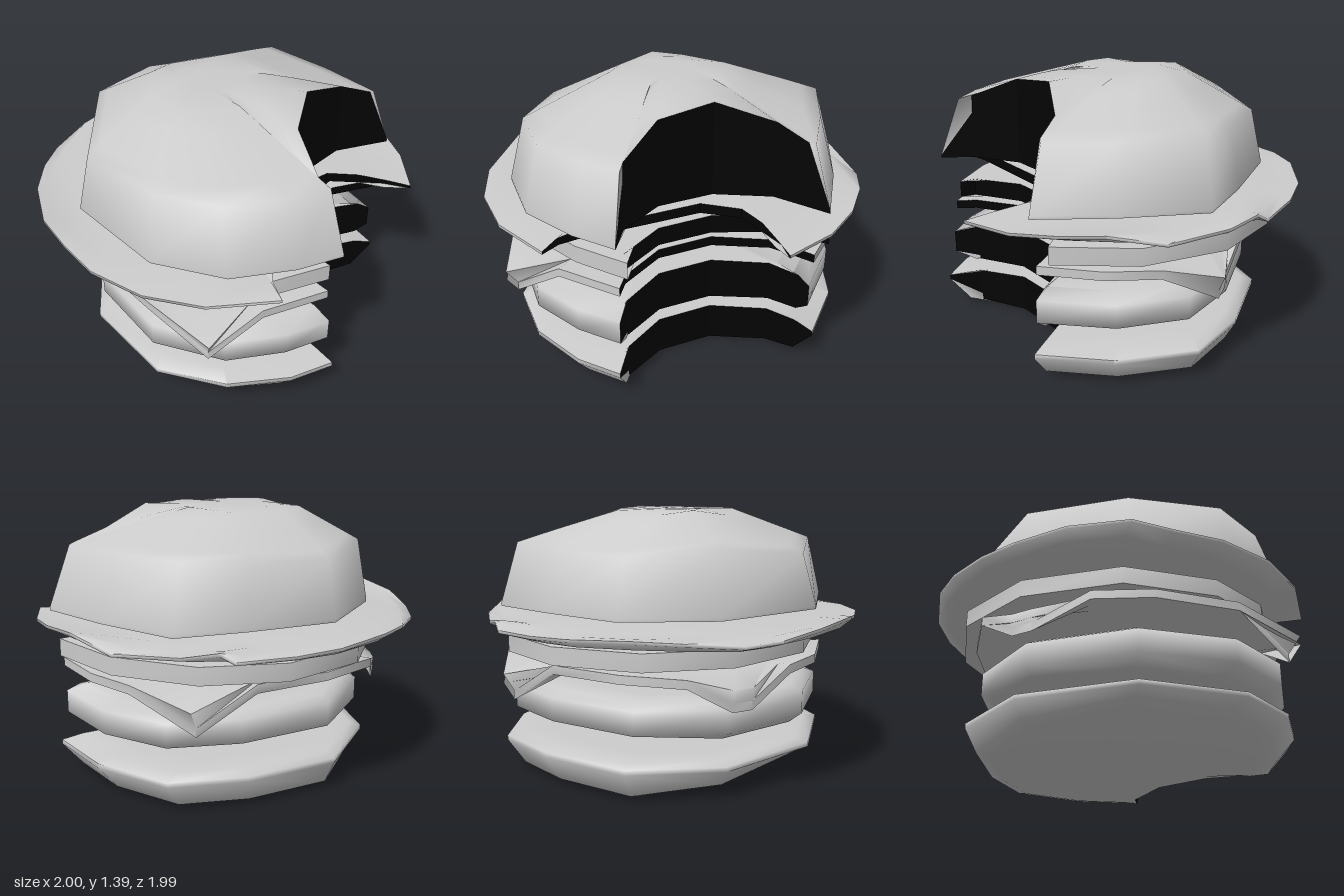
import * as THREE from 'three';
import { toCreasedNormals } from 'three/addons/utils/BufferGeometryUtils.js';

const RINGS = [0.15, 0.35, 0.5, 0.7, 0.8, 0.9, 1];

// linear interpolation through [u, y] points
function sample(profile, u) {
  for (let i = 1; i < profile.length; i++) {
    const [u0, y0] = profile[i - 1], [u1, y1] = profile[i];
    if (u <= u1) return y0 + (y1 - y0) * (u - u0) / (u1 - u0);
  }
  return profile[profile.length - 1][1];
}

// One bitten layer. rim: [x, z, lift] round the outside; bite: [x, z, u] back to the
// start of the rim. top and bottom give the height against the relative radius u;
// floor(x, z) and ceiling(x, z) limit the underside and the top.
function layer(name, spec, outside, bitten) {
  const { center = [-0.15, -0.15], rim, bite, top, bottom, floor = () => 0, ceiling = () => 2 } = spec;
  const columns = [
    ...rim.map(([x, z, lift = 0]) => ({ x, z, lift, u: 1 })),
    ...bite.map(([x, z, u]) => ({ x, z, lift: 0, u })),
  ];
  const n = columns.length, m = RINGS.length;
  const point = (c, s, profile) => {
    // drooping corners bulge out before they tuck in
    const r = s + 0.9 * Math.abs(c.lift) * Math.max(0, 1 - Math.abs(s - 0.9) / 0.1);
    const x = center[0] + r * (c.x - center[0]);
    const z = center[1] + r * (c.z - center[1]);
    const y = sample(profile, s * c.u) + c.lift * Math.max(0, (s - 0.8) / 0.2);
    return [x, profile === bottom ? Math.max(y, floor(x, z)) : Math.min(y, ceiling(x, z)), z];
  };

  // top and bottom skins, joined by the outer edge
  const pos = [], index = [];
  for (const profile of [top, bottom]) {
    const base = pos.length / 3, up = profile === top;
    pos.push(center[0], profile[0][1], center[1]);
    for (const s of RINGS) for (const c of columns) pos.push(...point(c, s, profile));
    const tri = (a, b, c) => (up ? index.push(a, c, b) : index.push(a, b, c));
    for (let i = 0; i < n; i++) {
      const j = (i + 1) % n;
      tri(base, base + 1 + i, base + 1 + j);
      for (let k = 0; k < m - 1; k++) {
        const a = base + 1 + k * n, b = a + n;
        tri(a + i, b + i, b + j);
        tri(a + i, b + j, a + j);
      }
    }
  }
  const T = 1 + (m - 1) * n, B = T + 1 + m * n;
  for (let i = 0; i < rim.length - 1; i++) {
    index.push(T + i, T + i + 1, B + i + 1, T + i, B + i + 1, B + i);
  }
  const skin = new THREE.BufferGeometry();
  skin.setAttribute('position', new THREE.Float32BufferAttribute(pos, 3));
  skin.setIndex(index);

  // cut face of the bite
  const cut = [];
  for (let i = rim.length - 1; i < n; i++) {
    const a = columns[i], b = columns[(i + 1) % n];
    const at = point(a, 1, top), bt = point(b, 1, top);
    const ab = point(a, 1, bottom), bb = point(b, 1, bottom);
    cut.push(...at, ...bt, ...bb, ...at, ...bb, ...ab);
  }
  const wall = new THREE.BufferGeometry();
  wall.setAttribute('position', new THREE.Float32BufferAttribute(cut, 3));
  wall.computeVertexNormals();

  const group = new THREE.Group();
  group.name = name;
  const skinMesh = new THREE.Mesh(toCreasedNormals(skin, 1.4), outside);
  skinMesh.name = name + 'Skin';
  const wallMesh = new THREE.Mesh(wall, bitten);
  wallMesh.name = name + 'Bite';
  group.add(skinMesh, wallMesh);
  return group;
}

export function createModel() {
  const outside = new THREE.MeshStandardMaterial({ name: 'light grey', color: 0xcccccc });
  const bitten = new THREE.MeshStandardMaterial({ name: 'bite black', color: 0x040404 });
  const bite = [[0.8, 0.065, 0.87], [0.63, 0.06, 0.66], [0.36, 0.2, 0.35], [0.2, 0.45, 0.48], [0.19, 0.73, 0.86]];

  const layers = {
    bottomBun: {
      rim: [[0.26, 0.89], [0.02, 0.91], [-0.3, 0.84], [-0.6, 0.62], [-0.78, 0.12], [-0.62, -0.46],
        [-0.24, -0.77], [0.25, -0.77], [0.62, -0.66], [0.84, -0.3], [0.91, 0.08]],
      bite,
      top: [[0, 0.21], [0.85, 0.205], [1, 0.18]],
      bottom: [[0, 0], [0.8, 0.008], [0.9, 0.03], [1, 0.155]],
      // the underside is cut away towards the front right
      floor: (x, z) => 0.36 * Math.max(0, -0.37 - x, 0.6 * z - 0.8 * x - 0.45),
    },
    patty: {
      rim: [[0.24, 0.85], [0, 0.87], [-0.3, 0.82], [-0.6, 0.58], [-0.74, 0.12], [-0.6, -0.42],
        [-0.24, -0.7], [0.25, -0.71], [0.6, -0.6], [0.8, -0.3], [0.87, 0.08]],
      bite,
      top: [[0, 0.5], [0.8, 0.495], [0.9, 0.48], [1, 0.45]],
      bottom: [[0, 0.265], [0.9, 0.28], [1, 0.33]],
      floor: (x, z) => 0.265 + 0.075 * Math.max(0, -z),
    },
    cheese: {
      rim: [[0.23, 0.83], [-0.12, 0.85], [-0.4, 0.85, -0.18], [-0.62, 0.6], [-0.77, 0.2], [-0.77, -0.1],
        [-0.71, -0.38, -0.13], [-0.66, -0.48, -0.13], [-0.52, -0.66], [-0.2, -0.75], [0.2, -0.76],
        [0.5, -0.72, -0.18], [0.74, -0.5], [0.84, -0.25], [0.88, 0.07]],
      bite,
      top: [[0, 0.645], [1, 0.635]],
      bottom: [[0, 0.59], [1, 0.59]],
    },
    tomato: {
      rim: [[0.25, 0.79], [-0.05, 0.8], [-0.35, 0.74], [-0.62, 0.5], [-0.77, 0.05], [-0.66, -0.45],
        [-0.35, -0.78], [0.1, -0.88], [0.5, -0.75], [0.8, -0.42], [0.92, -0.01]],
      bite: [[0.64, 0.02, 0.6], ...bite.slice(2)],
      top: [[0, 0.77], [1, 0.76]],
      bottom: [[0, 0.665], [1, 0.67]],
    },
    lettuce: {
      center: [-0.2, -0.4],
      rim: [[-0.09, 0.99, -0.01], [-0.43, 0.91, -0.01], [-0.68, 0.75, 0], [-0.86, 0.52, 0.01], [-0.94, 0.3, 0.02],
        [-1, 0.1, 0.045], [-0.98, -0.2, 0.03], [-0.9, -0.45, 0], [-0.8, -0.62, -0.01], [-0.6, -0.8, 0.01],
        [-0.4, -0.92, 0.02], [-0.1, -1, 0.01], [0.13, -0.99, 0], [0.4, -0.92, -0.01], [0.46, -0.88, 0.03],
        [0.6, -0.78, 0], [0.84, -0.55, -0.01], [0.95, -0.3, 0.04], [1, -0.08, 0.03], [0.99, 0.15, 0.01],
        [0.9, 0.42, 0]],
      bite: [[0.8, 0.3, 0.9], [0.52, 0.18, 0.75], [0.32, 0.25, 0.65], [0.15, 0.5, 0.7], [-0.05, 0.78, 0.85],
        [-0.09, 0.88, 0.93]],
      top: [[0, 0.865], [0.6, 0.85], [0.9, 0.835], [1, 0.825]],
      bottom: [[0, 0.825], [0.6, 0.795], [0.9, 0.787], [1, 0.81]],
    },
    topBun: {
      rim: [[0.26, 0.89], [0.02, 0.9], [-0.3, 0.85], [-0.6, 0.62], [-0.81, 0.1], [-0.6, -0.49],
        [-0.21, -0.78], [0.25, -0.745], [0.6, -0.69], [0.8, -0.3], [0.94, 0.07]],
      bite,
      top: [[0, 1.39], [0.35, 1.385], [0.9, 1.22], [1, 0.905]],
      bottom: [[0, 0.89], [1, 0.89]],
      // the crown slopes down to the back and to the right
      ceiling: (x, z) => 1.17 + 0.52 * (0.74 + Math.min(x, z)),
    },
  };

  const model = new THREE.Group();
  model.name = 'bittenBurger';
  for (const [name, spec] of Object.entries(layers)) model.add(layer(name, spec, outside, bitten));
  return model;
}
